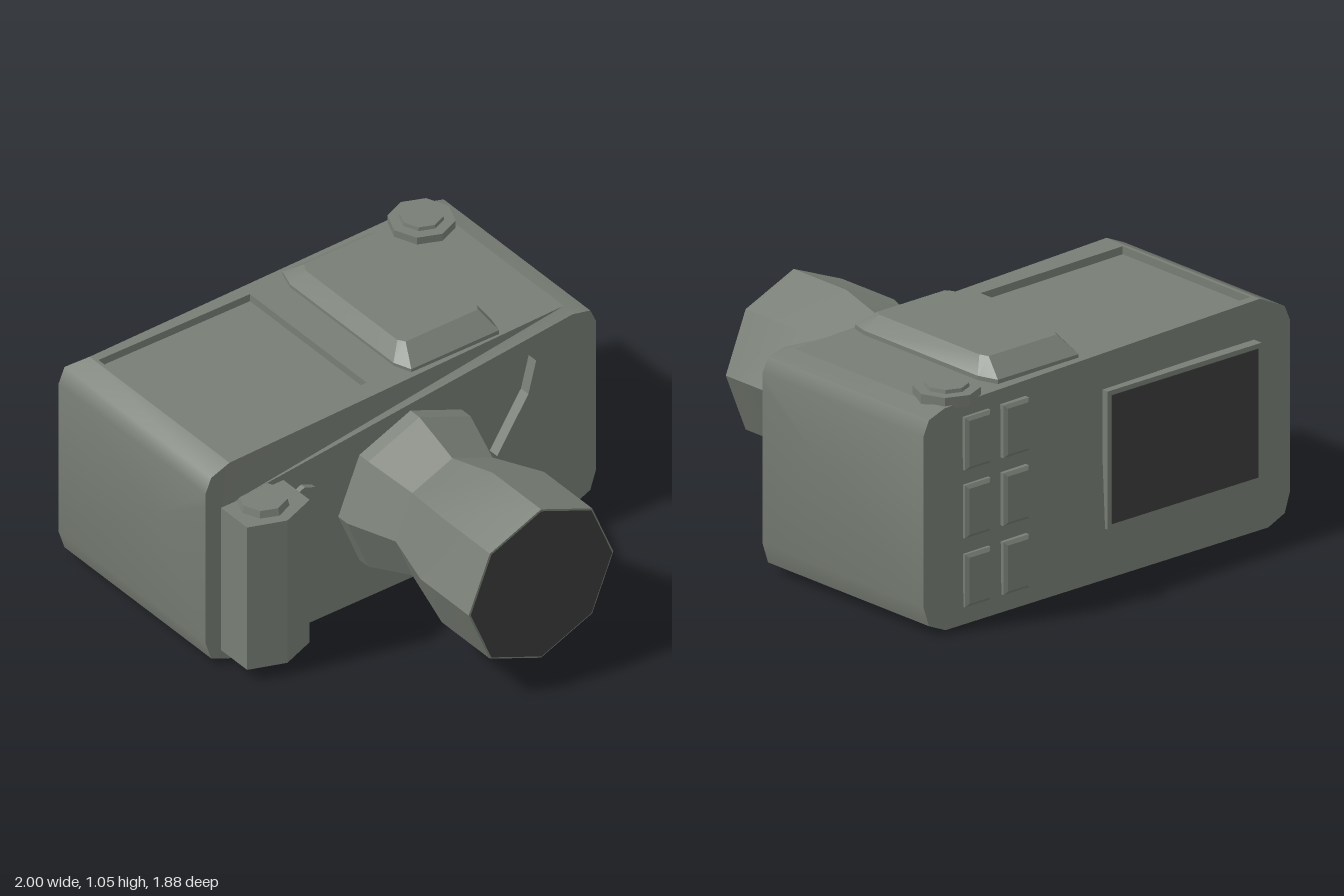
import * as THREE from 'three';
import { toCreasedNormals } from 'three/addons/utils/BufferGeometryUtils.js';

const grey = new THREE.MeshStandardMaterial({ color: 0x787e75, side: THREE.DoubleSide });
grey.name = 'grey green';
const dark = new THREE.MeshStandardMaterial({ color: 0x3c3c3c, side: THREE.DoubleSide });
dark.name = 'dark glass';

// Joins closed rings of [x, y, z] points; the ends are closed with fans.
function loft(rings, { start = true, end = true, skip = () => false } = {}) {
  const pos = [];
  const tri = (a, b, c) => pos.push(...a, ...b, ...c);
  const n = rings[0].length;
  for (let i = 0; i + 1 < rings.length; i++) {
    for (let j = 0; j < n; j++) {
      if (skip(i, j)) continue;
      const k = (j + 1) % n, a = rings[i], b = rings[i + 1];
      tri(a[j], a[k], b[k]);
      tri(a[j], b[k], b[j]);
    }
  }
  const cap = (ring, flip) => {
    const c = [0, 1, 2].map(d => ring.reduce((s, p) => s + p[d], 0) / n);
    ring.forEach((p, j) => {
      const q = ring[(j + 1) % n];
      if (flip) tri(c, q, p); else tri(c, p, q);
    });
  };
  if (start) cap(rings[0], true);
  if (end) cap(rings[rings.length - 1], false);
  const g = new THREE.BufferGeometry();
  g.setAttribute('position', new THREE.Float32BufferAttribute(pos, 3));
  return g;
}

// Level ring from [x, z] points
const level = (pts, y) => pts.map(([x, z]) => [x, y, z]);
const rect = (x0, x1, z0, z1) => [[x0, z1], [x1, z1], [x1, z0], [x0, z0]];

export function createModel() {
  const model = new THREE.Group();
  const add = (name, geo, material = grey, crease = 0.3) => {
    const mesh = new THREE.Mesh(toCreasedNormals(geo, crease), material);
    mesh.name = name;
    model.add(mesh);
    return mesh;
  };

  // Body: sections along x, four front heights with depths, then the back depth at the top
  const F = 0.06, B = -0.92;
  const section = (x, ys, zs = [F, F, F, F], backTop = B) => [
    ...ys.map((y, i) => [x, y, zs[i]]), [x, ys[3], backTop], [x, ys[0], B],
  ];
  const sections = [
    section(-1, [0.13, 0.77, 0.8, 0.87]),
    section(-0.97, [0.04, 0.77, 0.8, 0.94]),
    section(-0.88, [0, 0.77, 0.795, 0.98], [F, F, 0.085, 0.065], -0.87),
    section(0.88, [0, 0.94, 0.955, 0.963], [F, F, F, 0], -0.915),
    section(0.97, [0.04, 0.85, 0.9, 0.935]),
    section(1, [0.13, 0.77, 0.82, 0.87]),
  ];
  add('body', loft(sections, { skip: (i, j) => i === 2 && j === 3 }), grey, 0.77);

  // Top face with a sunken panel
  const topY = x => 0.98 - 0.017 * (x + 0.88) / 1.76;
  const top = new THREE.Shape([[-0.88, -0.065], [0.88, 0], [0.88, 0.915], [-0.88, 0.87]]
    .map(p => new THREE.Vector2(...p)));
  const recess = rect(-0.865, -0.09, -0.83, -0.05);
  top.holes.push(new THREE.Path(recess.map(([x, z]) => new THREE.Vector2(x, -z))));
  const topGeo = new THREE.ShapeGeometry(top).rotateX(-Math.PI / 2);
  const tp = topGeo.attributes.position;
  for (let i = 0; i < tp.count; i++) tp.setY(i, topY(tp.getX(i)));
  add('topFace', topGeo);
  const rim = drop => recess.map(([x, z]) => [x, topY(x) - drop, z]);
  add('topPanel', loft([rim(0), rim(0.035)], { start: false }));

  // Viewfinder hump
  const humpBase = [[0.1, 0], [0.55, 0], [0.57, -0.08], [0.57, -0.77], [0.54, -0.86],
    [0.1, -0.86], [0.07, -0.77], [0.07, -0.08]];
  const humpTop = [[0.14, -0.09], [0.51, -0.09], [0.525, -0.12], [0.525, -0.73], [0.51, -0.77],
    [0.14, -0.77], [0.12, -0.73], [0.12, -0.12]];
  add('hump', loft([level(humpBase, 0.96), level(humpBase, 0.985), level(humpTop, 1.055)]));

  // Octagonal discs: dial, knob and small front button
  const disc = (name, r0, r1, h, x, y, z) =>
    add(name, new THREE.CylinderGeometry(r0, r1, h, 8), grey).position.set(x, y, z);
  disc('dialBase', 0.14, 0.14, 0.05, 0.765, 0.974, -0.8);
  disc('dialTop', 0.09, 0.1, 0.05, 0.765, 0.99, -0.8);
  disc('gripKnob', 0.1, 0.115, 0.06, -0.765, 0.772, 0.14);
  const button = add('frontButton', new THREE.CylinderGeometry(0.078, 0.078, 0.05, 8).rotateX(Math.PI / 2));
  button.position.set(-0.51, 0.63, 0.06);

  // Hand grip with a tapered foot
  const grip = [[-0.92, 0.05], [-0.92, 0.235], [-0.76, 0.295], [-0.6, 0.235], [-0.6, 0.05]];
  const foot = grip.map(([x, z]) => [-0.76 + (x + 0.76) * 0.45, 0.1 + (z - 0.1) * 0.4]);
  add('grip', loft([level(foot, 0.03), level(grip, 0.06), level(grip, 0.77)]));

  // Lens barrel and dark glass
  const profile = [[0.37, 0.05], [0.37, 0.12], [0.29, 0.34], [0.37, 0.61], [0.37, 0.932], [0, 0.932]];
  const lens = add('lens', new THREE.LatheGeometry(profile.map(p => new THREE.Vector2(...p)), 8)
    .rotateX(Math.PI / 2));
  lens.position.set(0.05, 0.465, 0);
  add('lensGlass', new THREE.CircleGeometry(0.362, 8), dark).position.set(0.05, 0.465, 0.935);

  // Raised spade-shaped plate on the front
  const half = [[0, 0.85], [0.04, 0.7], [0.2, 0.46], [0.06, 0.335], [0.06, 0.15]];
  const outline = [...half, ...half.slice(1).reverse().map(([x, y]) => [-x, y])];
  add('frontPlate', new THREE.ExtrudeGeometry(
    new THREE.Shape(outline.map(([x, y]) => new THREE.Vector2(x + 0.655, y))),
    { depth: 0.06, bevelEnabled: false })).position.z = 0.05;

  // Rear screen in a thin frame
  add('screenFrame', new THREE.BoxGeometry(0.84, 0.6, 0.055)).position.set(-0.42, 0.515, -0.8975);
  add('screen', new THREE.BoxGeometry(0.8, 0.56, 0.006), dark).position.set(-0.42, 0.515, -0.926);

  // Rear buttons with bevelled edges
  const face = (x, y, w, h, z) => [[x - w, y - h, z], [x + w, y - h, z], [x + w, y + h, z], [x - w, y + h, z]];
  for (const x of [0.5, 0.71]) {
    for (const y of [0.19, 0.49, 0.785]) {
      add('rearButton', loft([face(x, y, 0.055, 0.1, -0.938), face(x, y, 0.07, 0.115, -0.926),
        face(x, y, 0.07, 0.115, -0.9)]));
    }
  }
  return model;
}
